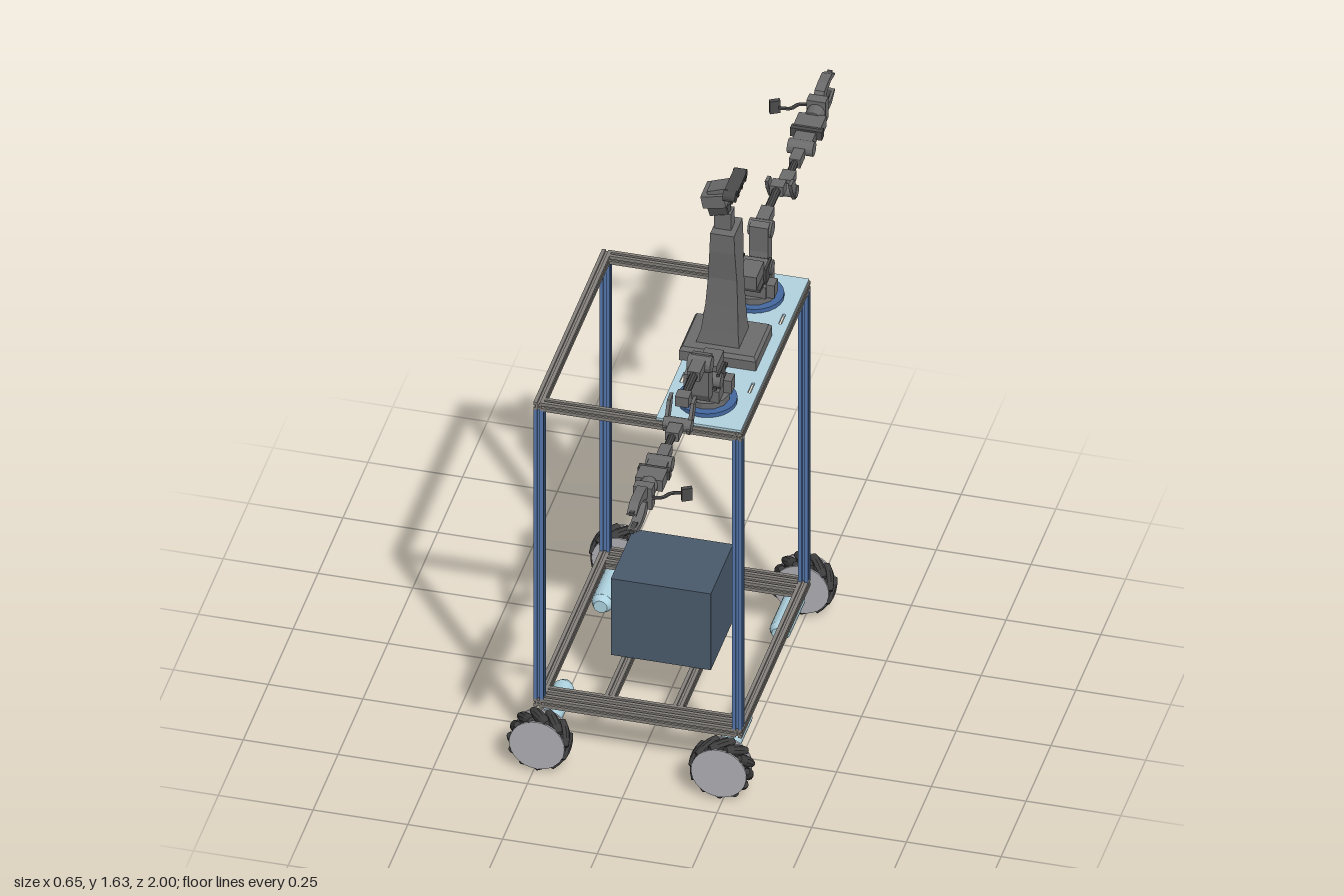
import * as THREE from 'three';

const mat = (color) => new THREE.MeshStandardMaterial({ color, flatShading: true });
const M = {
  rail: mat(0x85817c), post: mat(0x5578ad), plate: mat(0xb2d2de), motor: mat(0xaed3e0),
  box: mat(0x4a5a6b), disc: mat(0xb0b0b6), roller: mat(0x3c3c3c), body: mat(0x6c6c6c),
  dark: mat(0x4a4a4a), blue: mat(0x44689f),
};

function add(parent, name, geo, material, pos = [0, 0, 0], rot = [0, 0, 0]) {
  const mesh = new THREE.Mesh(geo, material);
  mesh.name = name;
  mesh.position.set(...pos);
  mesh.rotation.set(...rot);
  parent.add(mesh);
  return mesh;
}
const box = (p, name, size, pos, m = M.body, rot) => add(p, name, new THREE.BoxGeometry(...size), m, pos, rot);

// Cylinder along axis 'x', 'y' or 'z'
function cyl(p, name, r, len, axis, pos, m = M.body, sides = 20, r2 = r) {
  const rot = { x: [0, 0, Math.PI / 2], y: [0, 0, 0], z: [Math.PI / 2, 0, 0] }[axis];
  return add(p, name, new THREE.CylinderGeometry(r, r2, len, sides), m, pos, rot);
}

// Slotted square rail, centred, running along the given axis
const W = 0.026;
function rail(p, name, len, axis, pos, m = M.rail) {
  const h = W / 2, s = 0.0035, d = 0.0075;
  const quarter = [[-h, -h], [-s, -h], [-s, -d], [s, -d], [s, -h]];
  const pts = [];
  for (let k = 0; k < 4; k++) {
    const a = k * Math.PI / 2, c = Math.cos(a), n = Math.sin(a);
    for (const [x, y] of quarter) pts.push(new THREE.Vector2(x * c - y * n, x * n + y * c));
  }
  const shape = new THREE.Shape(pts);
  shape.holes.push(new THREE.Path().absarc(0, 0, 0.0028, 0, Math.PI * 2, true));
  const geo = new THREE.ExtrudeGeometry(shape, { depth: len, bevelEnabled: false, curveSegments: 5 });
  geo.translate(0, 0, -len / 2);
  const rot = { x: [0, Math.PI / 2, 0], y: [Math.PI / 2, 0, 0], z: [0, 0, 0] }[axis];
  return add(p, name, geo, m, pos, rot);
}

// Rectangular loft through rows of [y, xMin, xMax, zHalf]
function loft(rows) {
  const geo = new THREE.BoxGeometry(1, 1, 1, 1, rows.length - 1, 1);
  const v = geo.attributes.position;
  for (let i = 0; i < v.count; i++) {
    const [y, x0, x1, z] = rows[Math.round((v.getY(i) + 0.5) * (rows.length - 1))];
    v.setXYZ(i, v.getX(i) < 0 ? x0 : x1, y, Math.sign(v.getZ(i)) * z);
  }
  geo.computeVertexNormals();
  return geo;
}

// Side profile of [z, y] points, given thickness in x
function sideProfile(points, thick) {
  const shape = new THREE.Shape(points.map(([z, y]) => new THREE.Vector2(z, y)));
  const geo = new THREE.ExtrudeGeometry(shape, { depth: thick, bevelEnabled: false });
  return geo.translate(0, 0, -thick / 2).rotateY(-Math.PI / 2);
}

// Wheel with barrel rollers set at 45 degrees, axle along z
function wheel(tilt) {
  const g = new THREE.Group();
  g.name = 'wheel';
  for (const s of [-1, 1]) cyl(g, 'wheelDisc', 0.073, 0.005, 'z', [0, 0, s * 0.029], M.disc, 32);
  cyl(g, 'wheelHub', 0.045, 0.055, 'z', [0, 0, 0], M.roller, 20);
  const profile = [[0, -0.036], [0.009, -0.036], [0.0145, -0.016], [0.016, 0], [0.0145, 0.016], [0.009, 0.036], [0, 0.036]];
  const rollerGeo = new THREE.LatheGeometry(profile.map(([x, y]) => new THREE.Vector2(x, y)), 10);
  const count = 11;
  for (let i = 0; i < count; i++) {
    const spoke = new THREE.Group();
    spoke.rotation.z = i / count * Math.PI * 2;
    add(spoke, 'roller', rollerGeo, M.roller, [0, 0.069, 0], [Math.PI / 2, 0, tilt * Math.PI / 4]);
    g.add(spoke);
  }
  return g;
}

// Arm reaching along +z, its base axis at x = 0
function arm() {
  const g = new THREE.Group();
  g.name = 'arm';
  const bz = 0.235;
  // Turntable and shoulder
  cyl(g, 'turntableRing', 0.077, 0.012, 'y', [0, 1.108, bz], M.blue, 24);
  cyl(g, 'turntable', 0.058, 0.02, 'y', [0, 1.122, bz], M.body, 12);
  box(g, 'shoulderMotor', [0.085, 0.035, 0.09], [0, 1.148, bz], M.body);
  box(g, 'shoulderBracket', [0.07, 0.008, 0.115], [0, 1.172, 0.22], M.dark);
  box(g, 'shoulderBlock', [0.05, 0.038, 0.075], [0, 1.194, 0.2], M.body);
  for (const s of [-1, 1]) {
    box(g, 'shoulderCheek', [0.007, 0.07, 0.06], [s * 0.036, 1.175, 0.235], M.dark);
    box(g, 'sideMotor', [0.022, 0.04, 0.035], [s * 0.052, 1.15, 0.215], M.body);
  }
  cyl(g, 'shoulderAxle', 0.02, 0.088, 'x', [0, 1.185, 0.255]);
  // Upright link and upper joint
  add(g, 'uprightLink', sideProfile([[0.27, 1.155], [0.305, 1.15], [0.318, 1.175], [0.318, 1.27], [0.3, 1.292], [0.28, 1.285], [0.28, 1.21]], 0.05), M.body);
  cyl(g, 'upperJoint', 0.022, 0.062, 'x', [0, 1.268, 0.305], M.body, 14);
  box(g, 'upperSleeve', [0.034, 0.028, 0.06], [0, 1.274, 0.345]);
  cyl(g, 'upperLink', 0.011, 0.12, 'z', [0, 1.276, 0.42], M.dark, 10);
  // Elbow: forked bracket stepping down to the forearm
  box(g, 'elbowSleeve', [0.036, 0.03, 0.035], [0, 1.275, 0.475]);
  for (const s of [-1, 1]) {
    add(g, 'elbowFork', sideProfile([[0.475, 1.288], [0.505, 1.285], [0.535, 1.235], [0.55, 1.23], [0.545, 1.215], [0.515, 1.215], [0.485, 1.262]], 0.009), M.body, [s * 0.031, 0, 0]);
  }
  cyl(g, 'elbowAxle', 0.017, 0.074, 'x', [0, 1.232, 0.528], M.body, 14);
  box(g, 'forearmSleeve', [0.036, 0.026, 0.045], [0, 1.236, 0.57]);
  cyl(g, 'forearmLink', 0.01, 0.13, 'z', [0, 1.236, 0.635], M.dark, 10);
  box(g, 'forearmCollar', [0.03, 0.026, 0.05], [0, 1.235, 0.665]);
  // Wrist
  cyl(g, 'wristJoint', 0.02, 0.068, 'x', [0, 1.238, 0.71], M.body, 14);
  box(g, 'wristBlock', [0.052, 0.03, 0.06], [0, 1.24, 0.74]);
  box(g, 'wristMotor', [0.072, 0.034, 0.055], [0, 1.247, 0.795]);
  box(g, 'wristPlate', [0.084, 0.026, 0.02], [0, 1.247, 0.765], M.dark);
  cyl(g, 'wristRoll', 0.024, 0.045, 'z', [0, 1.247, 0.84], M.body, 14);
  // Gripper: palm and two curved fingers
  box(g, 'palm', [0.05, 0.066, 0.03], [0, 1.247, 0.87]);
  const finger = [[0.87, 0.012], [0.89, 0.042], [0.925, 0.046], [0.965, 0.045], [0.995, 0.028], [0.995, 0.022], [0.955, 0.029], [0.92, 0.022], [0.895, 0.004]];
  for (const s of [1, -1]) {
    const pts = finger.map(([z, y]) => [z, s * y]);
    add(g, s > 0 ? 'upperFinger' : 'lowerFinger', sideProfile(pts, 0.026), M.body, [0, 1.247, 0]);
    box(g, 'fingerTip', [0.013, 0.01, 0.04], [0, 1.247 + s * 0.028, 0.978], M.dark);
  }
  // Wrist camera on a bent stalk
  const stalk = [[0.02, 1.25, 0.88], [0.05, 1.25, 0.872], [0.065, 1.25, 0.85], [0.095, 1.252, 0.842]];
  const curve = new THREE.CatmullRomCurve3(stalk.map((p) => new THREE.Vector3(...p)));
  add(g, 'cameraStalk', new THREE.TubeGeometry(curve, 10, 0.005, 6), M.dark);
  box(g, 'wristCamera', [0.028, 0.038, 0.012], [0.106, 1.253, 0.845], M.dark, [0, 0.5, 0]);
  return g;
}

export function createModel() {
  const model = new THREE.Group();
  model.name = 'mobileRobot';
  const X = 0.262, Z = 0.332;

  // Cart frame
  const frame = new THREE.Group();
  frame.name = 'cartFrame';
  model.add(frame);
  for (const s of [-1, 1]) {
    for (const t of [-1, 1]) rail(frame, 'post', 0.91, 'y', [s * X, 0.615, t * Z], M.post);
    rail(frame, 'topEndRail', 2 * Z + W, 'z', [s * X, 1.081, 0]);
    rail(frame, 'topSideRail', 2 * X - W, 'x', [0, 1.081, s * Z]);
    rail(frame, 'bottomEndRail', 2 * Z + W, 'z', [s * X, 0.148, 0]);
    rail(frame, 'bottomSideRail', 2 * X - W, 'x', [0, 0.148, s * Z]);
    rail(frame, 'bottomInnerRail', 2 * X - W, 'x', [0, 0.148, s * 0.295]);
    rail(frame, 'crossRail', 0.564, 'z', [s * 0.09, 0.148, 0]);
  }
  box(model, 'equipmentBox', [0.264, 0.24, 0.224], [0, 0.281, 0], M.box);

  // Wheels and drive motors
  for (const s of [-1, 1]) for (const t of [-1, 1]) {
    const w = wheel(s * t);
    w.position.set(s * 0.24, 0.088, t * 0.414);
    model.add(w);
    cyl(model, 'axle', 0.006, 0.09, 'z', [s * 0.24, 0.09, t * 0.365], M.disc, 10);
    cyl(model, 'driveMotor', 0.028, 0.145, 'z', [s * 0.235, 0.092, t * 0.265], M.motor);
    const cap = cyl(model, 'motorCap', 0.018, 0.018, 'z', [s * 0.235, 0.092, t * 0.184], M.motor, 20, 0.028);
    if (t > 0) cap.rotation.x = -Math.PI / 2;
  }

  // Mounting plate with slots
  const deck = new THREE.Shape();
  deck.moveTo(0.048, -0.342).lineTo(0.272, -0.342).lineTo(0.272, 0.342).lineTo(0.048, 0.342).closePath();
  for (const x of [0.07, 0.25]) for (const z of [-0.155, 0.155]) {
    const slot = new THREE.Path();
    slot.moveTo(x - 0.004, z - 0.022).lineTo(x - 0.004, z + 0.022).lineTo(x + 0.004, z + 0.022).lineTo(x + 0.004, z - 0.022).closePath();
    deck.holes.push(slot);
  }
  const deckGeo = new THREE.ExtrudeGeometry(deck, { depth: 0.007, bevelEnabled: false }).rotateX(Math.PI / 2);
  add(model, 'mountingPlate', deckGeo, M.plate, [0, 1.102, 0]);

  // Torso
  add(model, 'torsoBase', loft([[1.1, 0.04, 0.243, 0.082], [1.13, 0.04, 0.243, 0.082], [1.14, 0.047, 0.236, 0.074]]), M.body);
  add(model, 'torsoColumn', loft([
    [1.138, 0.075, 0.19, 0.048], [1.18, 0.088, 0.186, 0.044], [1.26, 0.098, 0.183, 0.037],
    [1.34, 0.104, 0.18, 0.034], [1.43, 0.11, 0.177, 0.043], [1.485, 0.112, 0.175, 0.043]]), M.body);

  // Neck and head
  const head = new THREE.Group();
  head.name = 'head';
  model.add(head);
  box(head, 'neckMotor', [0.045, 0.05, 0.036], [0.138, 1.51, 0]);
  cyl(head, 'neckPivot', 0.02, 0.03, 'y', [0.135, 1.543, 0], M.dark, 14);
  box(head, 'neckBracket', [0.05, 0.04, 0.008], [0.125, 1.553, 0.022], M.dark, [0, 0, 0.3]);
  box(head, 'neckBracket', [0.05, 0.04, 0.008], [0.125, 1.553, -0.022], M.dark, [0, 0, 0.3]);
  box(head, 'headMotor', [0.062, 0.036, 0.072], [0.118, 1.578, 0], M.body, [0, 0, 0.2]);
  box(head, 'headArm', [0.07, 0.014, 0.05], [0.133, 1.606, 0], M.body, [0, 0, 0.35]);
  // Wide camera bar with rounded ends
  box(head, 'cameraBar', [0.034, 0.03, 0.096], [0.166, 1.617, 0], M.dark, [0, 0, -0.15]);
  for (const s of [-1, 1]) cyl(head, 'cameraEnd', 0.0155, 0.033, 'x', [0.166, 1.617, s * 0.049], M.dark, 16);
  for (const z of [-0.035, 0, 0.035]) cyl(head, 'lens', 0.008, 0.004, 'x', [0.184, 1.616, z], M.roller, 12);

  // Arms, turned half a circle from each other about the torso
  for (const turn of [0, Math.PI]) {
    const a = arm();
    a.position.x = 0.155;
    a.rotation.y = turn;
    model.add(a);
  }
  return model;
}
